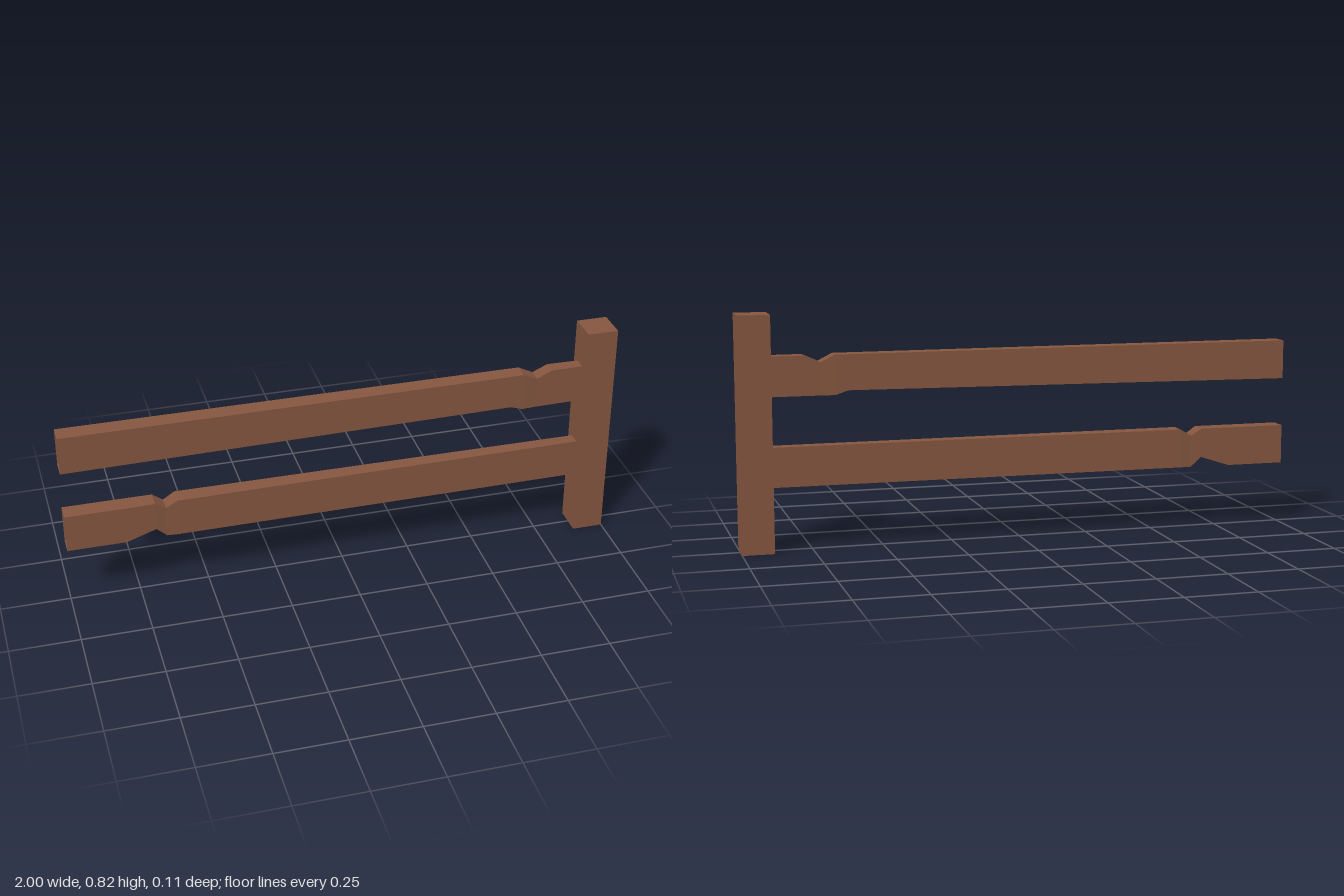
import * as THREE from 'three';

// Open-ended square tube through stations [x, bottom, top, back, front]
function railGeometry(stations) {
  const positions = [];
  const corners = ([x, y0, y1, z0, z1]) => [[x, y0, z1], [x, y1, z1], [x, y1, z0], [x, y0, z0]];
  for (let i = 0; i < stations.length - 1; i++) {
    const a = corners(stations[i]);
    const b = corners(stations[i + 1]);
    for (let k = 0; k < 4; k++) {
      const n = (k + 1) % 4;
      positions.push(...a[k], ...b[k], ...b[n], ...a[k], ...b[n], ...a[n]);
    }
  }
  const geometry = new THREE.BufferGeometry();
  geometry.setAttribute('position', new THREE.Float32BufferAttribute(positions, 3));
  geometry.computeVertexNormals();
  return geometry;
}

// Box without its underside
function postGeometry(width, height, depth) {
  const geometry = new THREE.BoxGeometry(width, height, depth);
  const index = Array.from(geometry.index.array);
  index.splice(18, 6);
  geometry.setIndex(index);
  geometry.clearGroups();
  return geometry.translate(0, height / 2, 0);
}

export function createModel() {
  const group = new THREE.Group();
  const wood = new THREE.MeshStandardMaterial({ color: 0x85563f, side: THREE.DoubleSide, flatShading: true });
  wood.name = 'brown wood';

  const add = (name, geometry) => {
    const mesh = new THREE.Mesh(geometry, wood);
    mesh.name = name;
    group.add(mesh);
    return mesh;
  };

  add('post', postGeometry(0.112, 0.825, 0.112)).position.x = 0.944;

  // Upper rail, worn near the post
  add('upperRail', railGeometry([
    [-1, 0.54, 0.68, -0.035, 0.032],
    [0.62, 0.555, 0.68, -0.031, 0.029],
    [0.665, 0.54, 0.68, -0.03, 0.028],
    [0.717, 0.54, 0.655, -0.027, 0.024],
    [0.772, 0.54, 0.68, -0.026, 0.023],
    [0.89, 0.54, 0.68, -0.024, 0.022],
  ]));

  // Lower rail, chipped near the free end
  add('lowerRail', railGeometry([
    [-1, 0.225, 0.365, -0.035, 0.032],
    [-0.79, 0.225, 0.365, -0.035, 0.032],
    [-0.683, 0.26, 0.365, -0.034, 0.03],
    [-0.645, 0.225, 0.34, -0.03, 0.027],
    [-0.603, 0.225, 0.365, -0.033, 0.03],
    [0.89, 0.225, 0.365, -0.024, 0.022],
  ]));

  return group;
}
